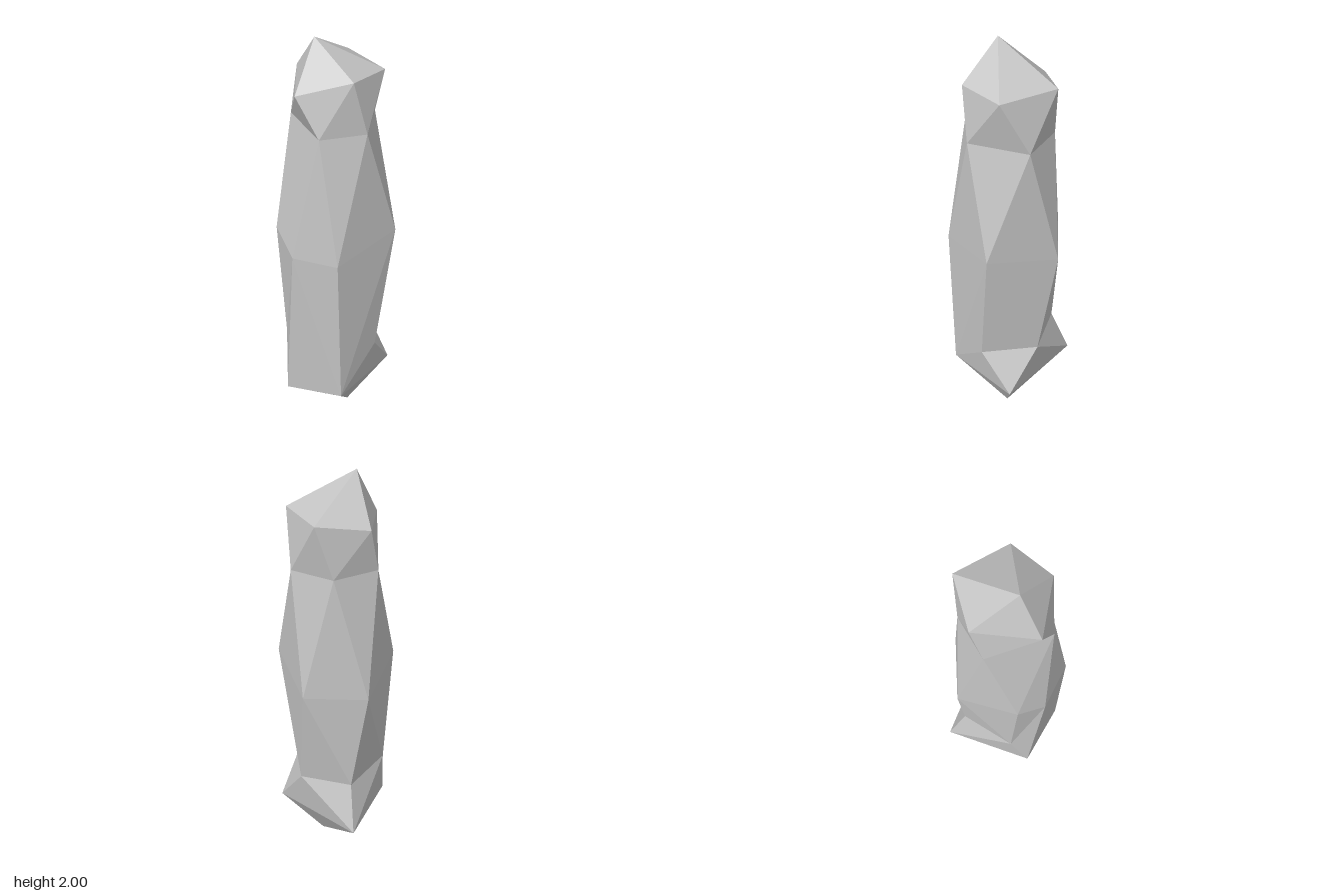
import * as THREE from 'three';

// Corner rings of the pillar, each listed left to right as seen from the front.
const tip = [[0.02, 2, 0.09]];
const crown = [[0.04, 1.775, 0.215], [0.222, 1.847, 0.048], [0.175, 1.84, -0.17], [-0.092, 1.85, -0.198], [-0.18, 1.808, 0.028]];
const neck = [[-0.157, 1.6, 0.085], [0.145, 1.598, 0.172], [0.243, 1.605, -0.015], [0.06, 1.597, -0.225], [-0.13, 1.6, -0.13]];
const waist = [[-0.085, 1.095, 0.238], [0.06, 1.003, 0.262], [0.261, 1.01, 0.163], [0.261, 1.075, -0.188], [-0.075, 1.01, -0.264], [-0.244, 1.003, -0.018]];
const notch = [[0.245, 0.45, -0.095], [0.01, 0.478, -0.235], [-0.185, 0.48, -0.07], [-0.085, 0.48, 0.195]];
const foot = [[0.266, 0.25, 0.14], [0.181, 0.252, -0.25], [-0.267, 0.245, -0.11], [-0.012, 0.193, 0.254]];
const base = [[0.08, 0, -0.065]];
// The long front facets run past the notch straight down to the foot.
const shin = [notch[3], foot[3], foot[0], notch[0], notch[1], notch[2]];

// Zips two rings together: U steps along the upper ring, L along the lower one.
function zip(upper, lower, steps) {
  const out = [];
  let i = 0, j = 0;
  for (const step of steps) {
    const u = upper[i % upper.length], l = lower[j % lower.length];
    const next = step === 'U' ? upper[++i % upper.length] : lower[++j % lower.length];
    out.push(...u, ...l, ...next);
  }
  return out;
}

export function createModel() {
  const stone = new THREE.MeshStandardMaterial({ color: 0xc3c3c3 });
  stone.name = 'greyStone';
  stone.flatShading = true;

  const positions = [
    ...zip(tip, crown, 'LLLLL'),
    ...zip(crown, neck, 'LULULULULU'),
    ...zip(neck, waist, 'ULLULULULUL'),
    ...zip(waist, shin, 'ULLUULLULULU'),
    ...zip(notch, foot, 'LULUUL'),
    ...zip(foot, base, 'UUUU'),
  ];
  const geometry = new THREE.BufferGeometry();
  geometry.setAttribute('position', new THREE.Float32BufferAttribute(positions, 3));
  geometry.computeVertexNormals();

  const pillar = new THREE.Mesh(geometry, stone);
  pillar.name = 'rockPillar';
  const group = new THREE.Group();
  group.name = 'rock';
  group.add(pillar);
  return group;
}
